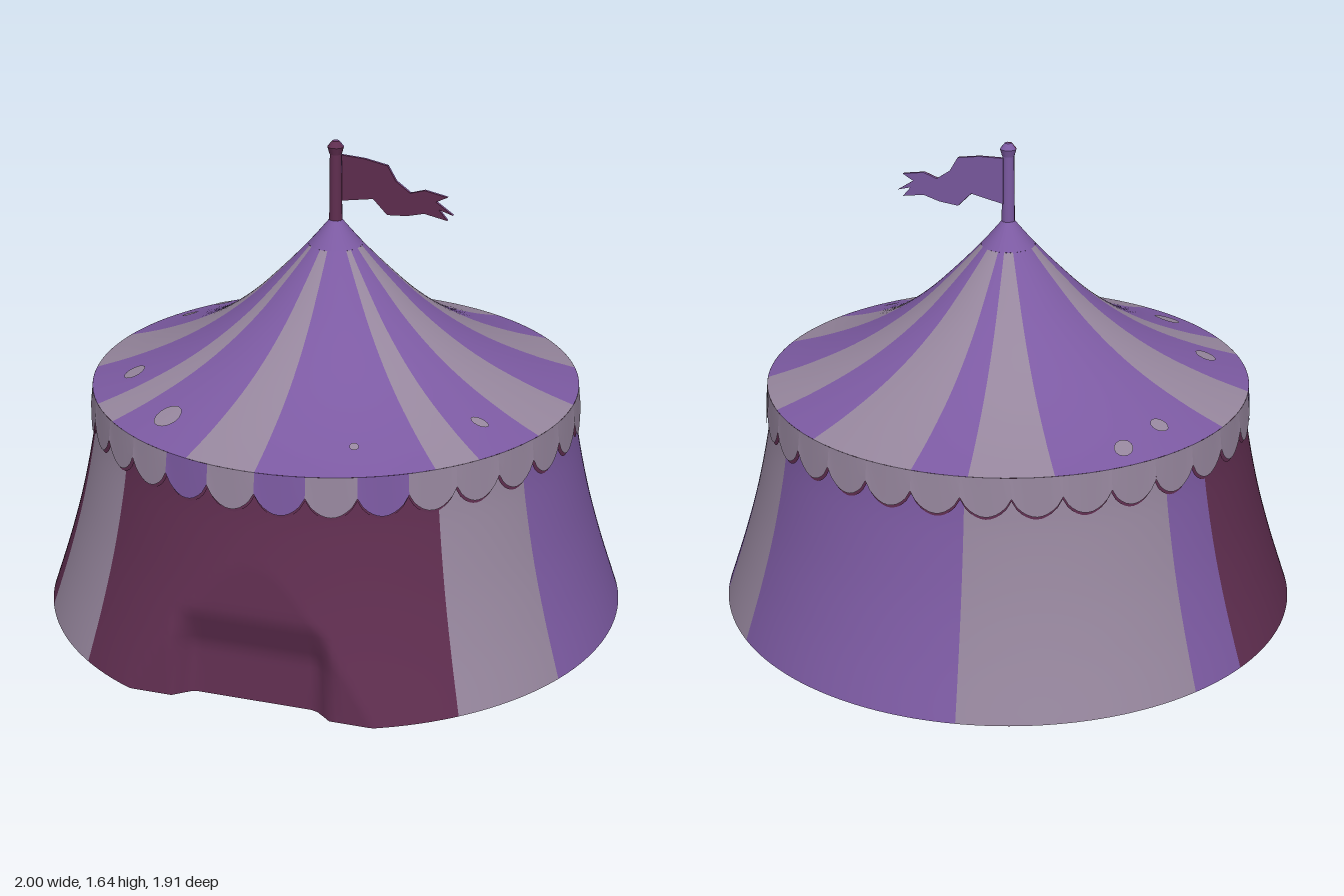
import * as THREE from 'three';

const AXIS_Z = 0.04;
const DEG = Math.PI / 180;

function paint(name, color) {
  const m = new THREE.MeshStandardMaterial({ color, side: THREE.DoubleSide });
  m.name = name;
  return m;
}

// Grid surface from fn(u, v), u running counter-clockwise seen from above, v upward
function surface(fn, u0, u1, nu, nv) {
  const pos = [], idx = [];
  for (let j = 0; j <= nv; j++)
    for (let i = 0; i <= nu; i++) pos.push(...fn(u0 + ((u1 - u0) * i) / nu, j / nv));
  for (let j = 0; j < nv; j++)
    for (let i = 0; i < nu; i++) {
      const a = j * (nu + 1) + i, b = a + nu + 1;
      idx.push(a, a + 1, b, a + 1, b + 1, b);
    }
  const g = new THREE.BufferGeometry();
  g.setAttribute('position', new THREE.Float32BufferAttribute(pos, 3));
  g.setIndex(idx);
  g.computeVertexNormals();
  return g;
}

const curve = (pts) => new THREE.SplineCurve(pts.map((p) => new THREE.Vector2(...p)));
const wallCurve = curve([[1, 0], [0.935, 0.2], [0.88, 0.4], [0.835, 0.62], [0.815, 0.79]]);
const roofCurve = curve([[0.832, 0.8], [0.7, 0.845], [0.55, 0.91], [0.42, 0.985], [0.3, 1.075],
  [0.2, 1.17], [0.1, 1.275], [0.02, 1.37]]);
const roofPts = roofCurve.getPoints(60);

function roofHeight(r) {
  const k = Math.max(1, roofPts.findIndex((p) => p.x <= r));
  const a = roofPts[k - 1], b = roofPts[k];
  return a.y + ((b.y - a.y) * (r - a.x)) / (b.x - a.x);
}

// Wall: flattened at the front, with a shallow sunken doorway
function wallPoint(deg, v) {
  const p = wallCurve.getPoint(v);
  const x = p.x * Math.sin(deg * DEG);
  let z = Math.min(p.x * Math.cos(deg * DEG) + AXIS_Z, 0.95 - 0.1 * p.y);
  if (z > 0 && p.y < 0.31) {
    const side = THREE.MathUtils.clamp((0.27 - Math.abs(x)) / 0.06, 0, 1);
    const back = p.y < 0.17 ? 0.9 - 0.12 * p.y : 0.88 + (0.04 * (p.y - 0.17)) / 0.14;
    z = THREE.MathUtils.lerp(z, Math.min(z, back), side);
  }
  return [x, p.y, z];
}

function roofPoint(t0, t1) {
  return (deg, v) => {
    const p = roofCurve.getPoint(t0 + (t1 - t0) * v);
    return [p.x * Math.sin(deg * DEG), p.y, p.x * Math.cos(deg * DEG) + AXIS_Z];
  };
}

// Scalloped cloth strip hanging from the eaves
function scallop(radius, drop) {
  return (deg, v) => {
    const f = ((deg / 11.25) % 1 + 1) % 1;
    const low = 0.73 - 0.065 * Math.pow(Math.sin(f * Math.PI), 0.7) - drop;
    const r = radius + 0.008 * (1 - v);
    return [r * Math.sin(deg * DEG), low + (0.8 - low) * v, r * Math.cos(deg * DEG) + AXIS_Z];
  };
}

export function createModel() {
  const tent = new THREE.Group();
  tent.name = 'stripedTent';
  const purple = paint('purple cloth', 0x7c5aa2);
  const grey = paint('pale cloth', 0x96869d);
  const maroon = paint('maroon cloth', 0x602e50);

  const add = (name, geo, mat, parent = tent) => {
    const m = new THREE.Mesh(geo, mat);
    m.name = name;
    parent.add(m);
    return m;
  };
  const group = (name) => {
    const g = new THREE.Group();
    g.name = name;
    tent.add(g);
    return g;
  };

  // Wall panels: start angle and colour, each running to the next start
  const walls = group('walls');
  const wallPanels = [[-168, grey], [-120, purple], [-107, maroon], [-63, grey], [-38, maroon],
    [41, grey], [65, purple], [116, grey], [138, purple], [192]];
  for (let i = 0; i < wallPanels.length - 1; i++) {
    const [a, mat] = wallPanels[i], b = wallPanels[i + 1][0];
    add('wallPanel', surface(wallPoint, a, b, Math.ceil((b - a) / 1.5), 32), mat, walls);
  }

  // Floor follows the foot of the wall
  add('floor', surface((deg, v) => {
    const [x, , z] = wallPoint(deg, 0);
    return [x * v, 0, AXIS_Z + (z - AXIS_Z) * v];
  }, -180, 180, 180, 1), maroon);

  // Roof stripes
  const roof = group('roof');
  const stripes = [[-100, grey], [-78, purple], [-55, grey], [-44, purple], [-17, grey], [0, purple],
    [40, grey], [51, purple], [70, grey], [90, purple], [113, grey], [133, purple], [152, grey],
    [180, purple], [193, grey], [212, purple], [260]];
  for (let i = 0; i < stripes.length - 1; i++) {
    const [a, mat] = stripes[i], b = stripes[i + 1][0];
    add('roofStripe', surface(roofPoint(0, 0.87), a, b, Math.ceil((b - a) / 4), 20), mat, roof);
  }
  add('roofCap', surface(roofPoint(0.87, 1), -180, 180, 32, 4), purple, roof);

  // Pale worn spots lying on the roof: x, z from the axis, half width, half length
  const spots = [[-0.59, -0.48, 0.03, 0.04], [-0.65, -0.3, 0.03, 0.03], [-0.62, 0.3, 0.035, 0.04],
    [-0.38, 0.6, 0.045, 0.05], [0.6, 0.35, 0.03, 0.02], [0.27, 0.65, 0.015, 0.015]];
  for (const [cx, cz, w, l] of spots) {
    add('roofSpot', surface((deg, v) => {
      const x = cx + w * (1 - v) * Math.sin(deg * DEG);
      const z = cz + l * (1 - v) * Math.cos(deg * DEG);
      return [x, roofHeight(Math.hypot(x, z)) + 0.005, z + AXIS_Z];
    }, 0, 360, 14, 2), grey, roof);
  }

  // Valance: 32 scallops over a darker lining
  const valance = group('valance');
  const purpleScallops = [-7, -2, 0, 2];
  for (let i = -16; i < 16; i++) {
    const a = i * 11.25, b = a + 11.2499;
    add('scallop', surface(scallop(0.832, 0), a, b, 10, 2),
      purpleScallops.includes(i) ? purple : grey, valance);
    add('scallopLining', surface(scallop(0.824, 0.012), a, b, 10, 2), maroon, valance);
  }

  // Flagpole, maroon in front and purple behind, with a knob
  const pole = group('flagpole');
  pole.position.z = AXIS_Z;
  for (const [start, mat] of [[-Math.PI / 2, maroon], [Math.PI / 2, purple]]) {
    const shaft = new THREE.CylinderGeometry(0.02, 0.023, 0.28, 6, 1, true, start, Math.PI);
    add('poleShaft', shaft, mat, pole).position.y = 1.47;
    const knob = new THREE.CylinderGeometry(0.012, 0.028, 0.02, 6, 1, false, start, Math.PI);
    add('knobTop', knob, mat, pole).position.y = 1.63;
    const collar = new THREE.CylinderGeometry(0.028, 0.021, 0.025, 6, 1, false, start, Math.PI);
    add('knobCollar', collar, mat, pole).position.y = 1.6075;
  }

  // Tattered flag, two cloth layers back to back
  const outline = [[0.01, 1.59], [0.1, 1.585], [0.18, 1.57], [0.21, 1.52], [0.26, 1.485], [0.31, 1.5],
    [0.39, 1.485], [0.35, 1.465], [0.41, 1.425], [0.36, 1.44], [0.39, 1.405], [0.31, 1.42],
    [0.25, 1.405], [0.18, 1.4], [0.13, 1.45], [0.01, 1.43]];
  const flagShape = new THREE.Shape(outline.map((p) => new THREE.Vector2(...p)));
  const flag = group('flag');
  flag.position.z = AXIS_Z - 0.015;
  flag.rotation.y = -0.06;
  for (const [z, mat] of [[0, maroon], [-0.006, purple]]) {
    const cloth = new THREE.ExtrudeGeometry(flagShape, { depth: 0.006, bevelEnabled: false });
    add('flagCloth', cloth, mat, flag).position.z = z;
  }
  return tent;
}
